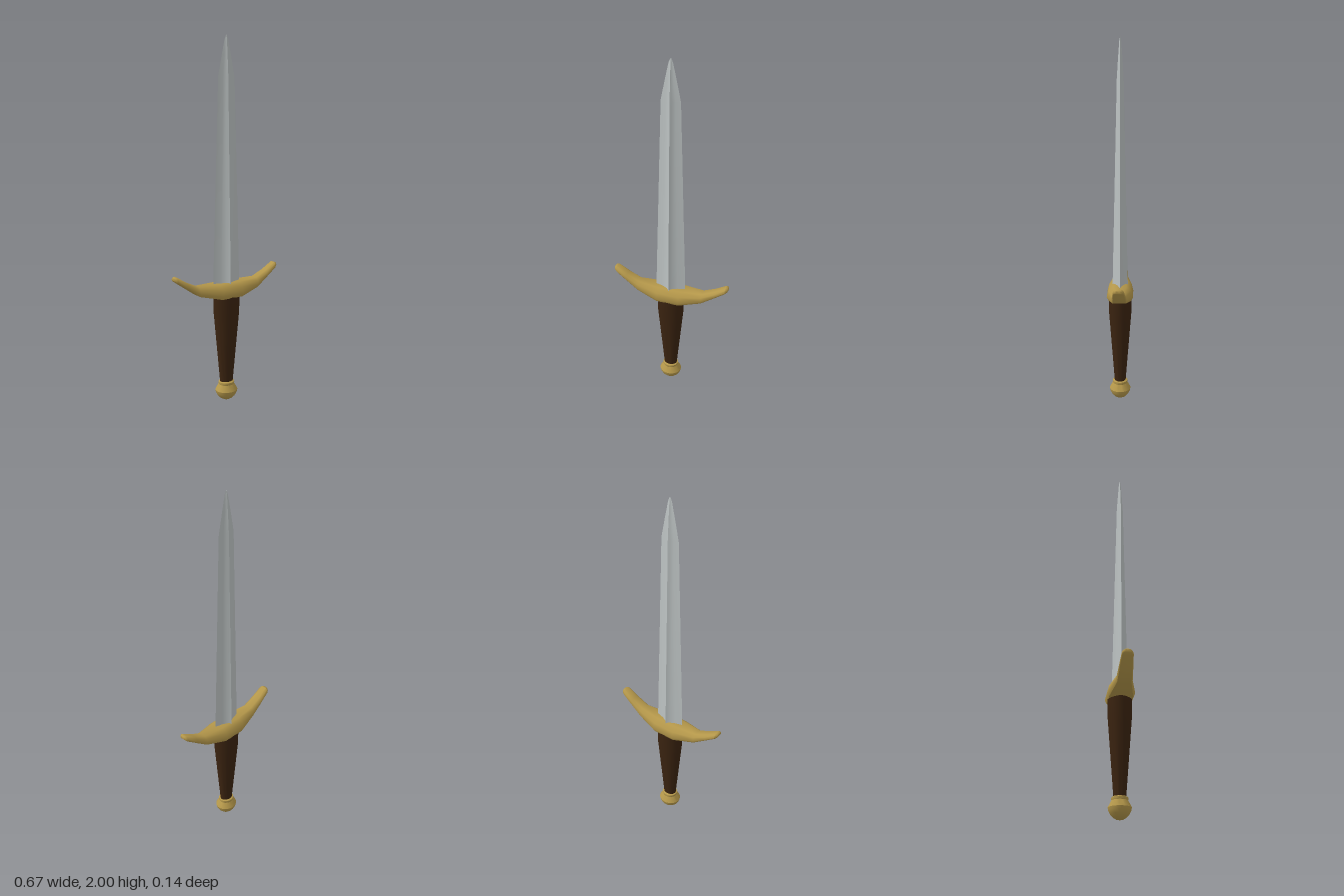
import * as THREE from 'three';
import { toCreasedNormals } from 'three/addons/utils/BufferGeometryUtils.js';

const steel = new THREE.MeshStandardMaterial({ name: 'steel', color: 0xbcc2c2 });
const brass = new THREE.MeshStandardMaterial({ name: 'brass', color: 0xb4974a });
const leather = new THREE.MeshStandardMaterial({ name: 'dark leather', color: 0x3a2310 });

// Skin closed rings of [x, y, z] points and cap both ends
function loft(rings, crease) {
  const n = rings[0].length, index = [];
  for (let i = 0; i < rings.length - 1; i++) {
    for (let k = 0; k < n; k++) {
      const a = i * n + k, b = i * n + (k + 1) % n;
      index.push(a, b, b + n, a, b + n, a + n);
    }
  }
  const last = (rings.length - 1) * n;
  for (let k = 1; k < n - 1; k++) {
    index.push(0, k + 1, k, last, last + k, last + k + 1);
  }
  const geo = new THREE.BufferGeometry();
  geo.setAttribute('position', new THREE.Float32BufferAttribute(rings.flat(2), 3));
  geo.setIndex(index);
  return toCreasedNormals(geo, crease);
}

// Turned part, slightly flattened front to back
function turned(profile, depth, crease) {
  const geo = new THREE.LatheGeometry(profile.map(([r, y]) => new THREE.Vector2(r, y)), 32);
  geo.scale(1, 1, depth);
  return toCreasedNormals(geo, crease);
}

export function createModel() {
  const group = new THREE.Group();
  const add = (name, geo, mat) => {
    const mesh = new THREE.Mesh(geo, mat);
    mesh.name = name;
    group.add(mesh);
  };

  // Blade: hollow-ground diamond section, [y, half width, half depth]
  const quarter = [[1, 0], [0.5, 0.27], [0.17, 0.62]];
  const star = [
    ...quarter, [0, 1], ...quarter.slice(1).reverse().map(([x, z]) => [-x, z]),
    ...quarter.map(([x, z]) => [-x, -z]), [0, -1],
    ...quarter.slice(1).reverse().map(([x, z]) => [x, -z]),
  ];
  const bladeRings = [
    [0.64, 0.088, 0.043], [1.79, 0.052, 0.018], [1.9, 0.029, 0.011],
    [1.98, 0.011, 0.005], [2, 0.002, 0.001],
  ].map(([y, w, d]) => star.map(([x, z]) => [x * w, y, -z * d]));
  add('blade', loft(bladeRings, 0.6), steel);

  // Crossguard: stations of [x, bottom y, top y, half depth], mirrored
  const half = [
    [0.065, 0.605, 0.684, 0.072], [0.19, 0.635, 0.686, 0.042],
    [0.26, 0.683, 0.718, 0.036], [0.322, 0.726, 0.756, 0.03],
    [0.333, 0.735, 0.754, 0.022], [0.337, 0.741, 0.751, 0.01],
  ];
  const stations = [...half.map(([x, ...s]) => [-x, ...s]).reverse(), ...half];
  const section = [
    [-0.85, 0], [-1, 0.25], [-0.87, 0.72], [-0.5, 1],
    [0.5, 1], [0.87, 0.72], [1, 0.25], [0.85, 0],
  ];
  const guardRings = stations.map(([x, y0, y1, d]) =>
    section.map(([z, t]) => [x, y0 + t * (y1 - y0), z * d]));
  add('crossguard', loft(guardRings, 1.0), brass);

  // Grip
  add('grip', turned([
    [0, 0.1], [0.037, 0.1], [0.046, 0.2], [0.075, 0.515], [0.077, 0.62], [0, 0.62],
  ], 0.83, 0.5), leather);

  // Pommel with a collar
  add('pommel', turned([
    [0, 0], [0.02, 0.004], [0.038, 0.014], [0.052, 0.029], [0.061, 0.046], [0.064, 0.06],
    [0.055, 0.076], [0.044, 0.094], [0.046, 0.101], [0.045, 0.108], [0.036, 0.113], [0, 0.113],
  ], 0.92, 0.6), brass);

  return group;
}
